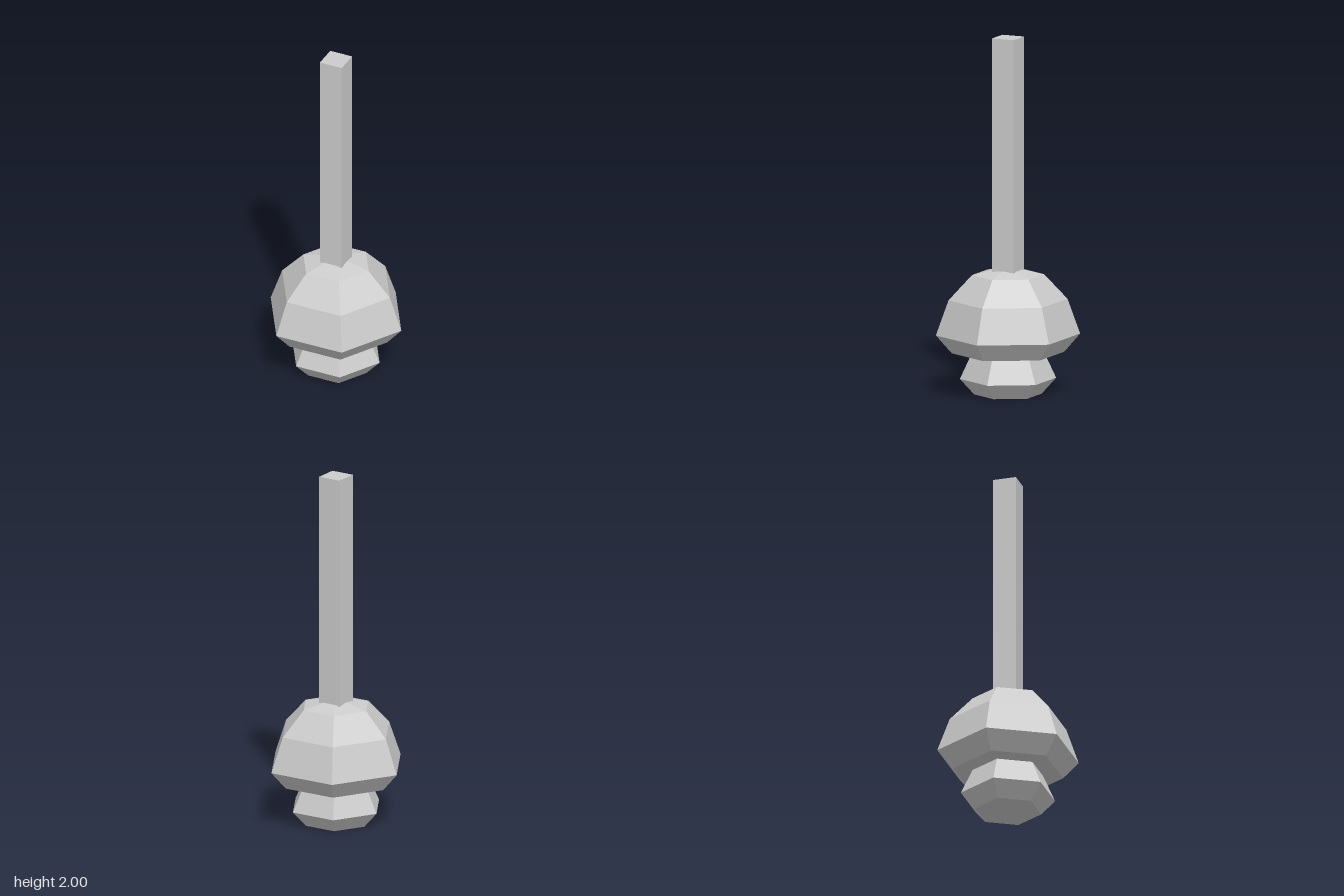
import * as THREE from 'three';

export function createModel() {
  const model = new THREE.Group();
  const grey = new THREE.MeshStandardMaterial({ color: 0xcccccc });
  grey.name = 'light grey';

  const add = (name, geometry) => {
    const mesh = new THREE.Mesh(geometry, grey);
    mesh.name = name;
    model.add(mesh);
    return mesh;
  };

  // Six-sided solid of revolution with faceted sides and corners on the x axis
  const hexLathe = (profile) => {
    const points = profile.map(([r, y]) => new THREE.Vector2(r, y));
    const geometry = new THREE.LatheGeometry(points, 6, Math.PI / 2).toNonIndexed();
    geometry.computeVertexNormals();
    return geometry;
  };

  // Small cup at the bottom
  add('lowerCup', hexLathe([[0, 0], [0.187, 0], [0.267, 0.088], [0.2, 0.233], [0, 0.233]]));

  // Large dome with a bevelled rim and flat underside
  add('upperDome', hexLathe([
    [0, 0.233], [0.312, 0.233], [0.4, 0.334], [0.33, 0.53], [0.2, 0.67], [0, 0.714],
  ]));

  // Square handle, sunk slightly into the dome
  add('handle', new THREE.BoxGeometry(0.134, 1.35, 0.134)).position.y = 1.325;

  return model;
}
